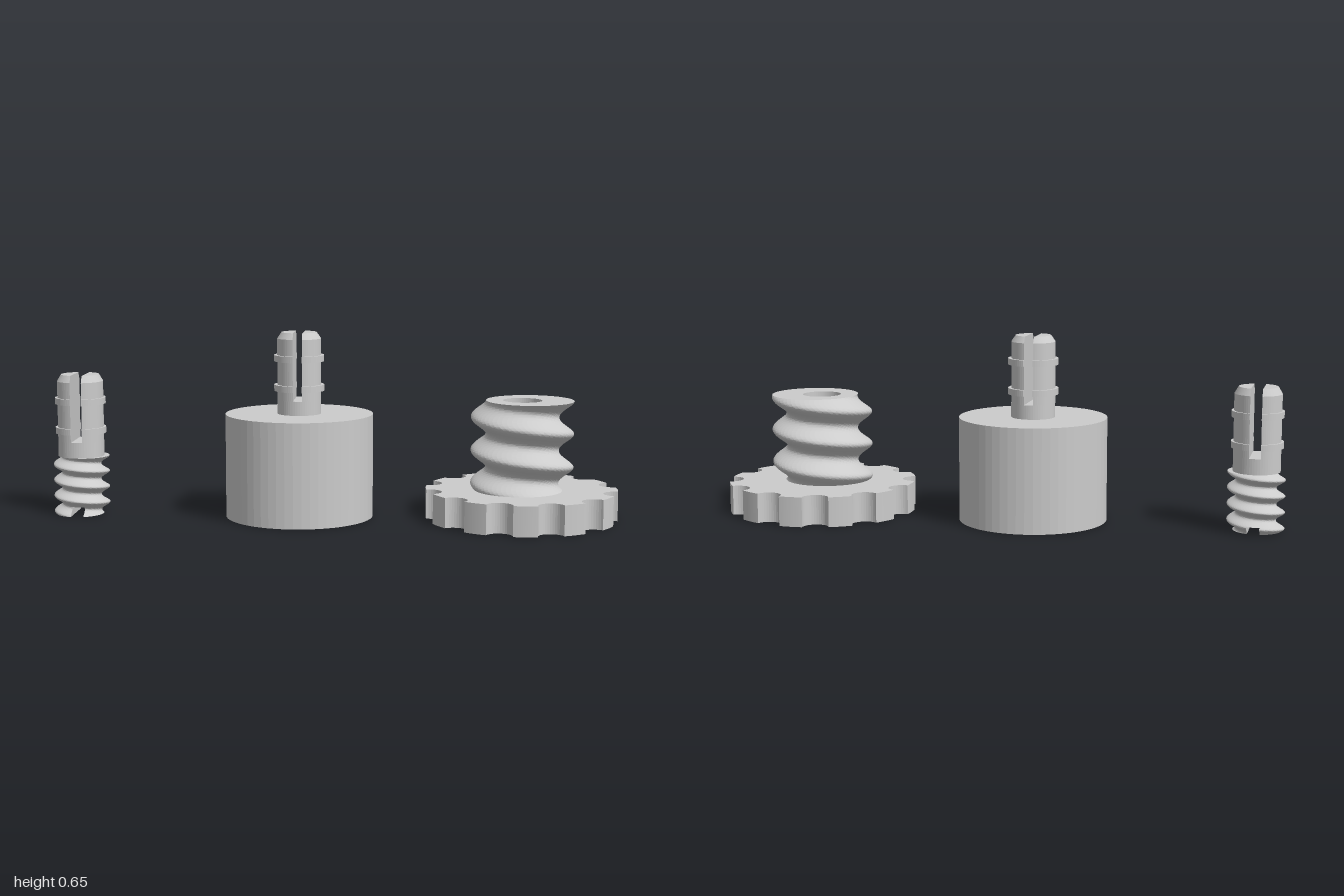
import * as THREE from 'three';

const material = new THREE.MeshStandardMaterial({ color: 0xcccccc, flatShading: true });
const SEG = 56;

// Horizontal circular section. With side = 1 or -1 only the piece beyond x = side * gap is kept.
function section(r, y, cx = 0, cz = 0, side = 0, gap = 0) {
  const half = side ? Math.acos((gap - side * cx) / r) : Math.PI;
  const mid = side < 0 ? Math.PI : 0;
  const count = side ? SEG / 2 : SEG - 1;
  const loop = [];
  for (let i = 0; i <= count; i++) {
    const t = mid - half + (2 * half * i) / (side ? count : SEG);
    loop.push(new THREE.Vector3(cx + r * Math.cos(t), y, cz + r * Math.sin(t)));
  }
  return loop;
}

// Skin a list of sections and cap both ends.
function loft(name, sections) {
  const n = sections[0].length;
  const points = sections.flat();
  const index = [];
  for (let s = 0; s < sections.length - 1; s++) {
    for (let j = 0; j < n; j++) {
      const a = s * n + j, b = s * n + ((j + 1) % n);
      index.push(a, a + n, b, b, a + n, b + n);
    }
  }
  const cap = (start, flip) => {
    const centre = new THREE.Vector3();
    for (let j = 0; j < n; j++) centre.addScaledVector(points[start + j], 1 / n);
    const c = points.push(centre) - 1;
    for (let j = 0; j < n; j++) {
      const a = start + j, b = start + ((j + 1) % n);
      if (flip) index.push(c, b, a);
      else index.push(c, a, b);
    }
  };
  const last = (sections.length - 1) * n;
  cap(0, false);
  cap(last, true);
  const geometry = new THREE.BufferGeometry().setFromPoints(points);
  geometry.setIndex(index);
  const flat = geometry.toNonIndexed();
  flat.computeVertexNormals();
  const mesh = new THREE.Mesh(flat, material);
  mesh.name = name;
  return mesh;
}

// Thread sections: an off-centre circle that turns as it climbs from y0 to y1.
function thread({ r, offset, pitch, top }, y0, y1, side = 0, gap = 0) {
  const steps = Math.max(4, Math.ceil((Math.abs(y1 - y0) / pitch) * 24));
  return Array.from({ length: steps + 1 }, (_, i) => {
    const y = y0 + ((y1 - y0) * i) / steps;
    const a = (2 * Math.PI * (top - y)) / pitch;
    return section(r, y, offset * Math.cos(a), -offset * Math.sin(a), side, gap);
  });
}

// Snap-in pin: solid foot, then two prongs with a slot between, ribs and a bevelled tip.
function splitPin({ r, ribR, tipR, base, slotFloor, top, bevel, ribs, gap }) {
  const pin = new THREE.Group();
  pin.name = 'splitPin';
  pin.add(loft('pinFoot', [section(r, base), section(r, slotFloor)]));
  const profile = [[r, slotFloor]];
  for (const y of ribs) {
    profile.push([r, y - 0.011], [ribR, y - 0.011], [ribR, y + 0.011], [r, y + 0.011]);
  }
  profile.push([r, top - bevel], [tipR, top]);
  for (const side of [1, -1]) {
    const prong = profile.map(([pr, y]) => section(pr, y, 0, 0, side, gap));
    pin.add(loft(side > 0 ? 'leftProng' : 'rightProng', prong));
  }
  return pin;
}

// Small threaded plug with a screwdriver slot underneath.
function threadedPlug() {
  const plug = new THREE.Group();
  plug.name = 'threadedPlug';
  const spec = { r: 0.084, offset: 0.015, pitch: 0.056, top: 0.207 };
  const slotTop = 0.03, gap = 0.022;
  plug.add(loft('plugThread', thread(spec, slotTop, 0.207)));
  for (const side of [1, -1]) {
    plug.add(loft('plugThreadEnd', thread(spec, 0, slotTop, side, gap)));
  }
  plug.add(splitPin({
    r: 0.081, ribR: 0.089, tipR: 0.067, base: 0.207, slotFloor: 0.262,
    top: 0.498, bevel: 0.024, ribs: [0.3, 0.405], gap: 0.02,
  }));
  return plug;
}

// Round housing with a threaded blind hole underneath and a pin on top.
function housing() {
  const group = new THREE.Group();
  group.name = 'housing';
  const spec = { r: 0.159, offset: 0.026, pitch: 0.117, top: 0.315 };
  group.add(loft('housingBody', [
    ...thread(spec, 0.315, 0),
    section(0.26, 0),
    section(0.26, 0.365),
  ]));
  group.add(splitPin({
    r: 0.077, ribR: 0.088, tipR: 0.062, base: 0.365, slotFloor: 0.415,
    top: 0.652, bevel: 0.022, ribs: [0.457, 0.561], gap: 0.016,
  }));
  return group;
}

// Thumb screw: notched grip disc with a hollow threaded post.
function thumbScrew() {
  const group = new THREE.Group();
  group.name = 'thumbScrew';
  const R = 0.336, notch = 0.046, count = 12, height = 0.105;
  const h = 2 * Math.asin(notch / (2 * R));
  const shape = new THREE.Shape();
  for (let i = 0; i < count; i++) {
    const c = ((i + 0.5) * 2 * Math.PI) / count;
    const swing = Math.PI / 2 + h / 2;
    shape.absarc(R * Math.cos(c), R * Math.sin(c), notch, c - swing, c + swing, true);
    shape.absarc(0, 0, R, c + h, c + (2 * Math.PI) / count - h, false);
  }
  const geometry = new THREE.ExtrudeGeometry(shape, { depth: height, bevelEnabled: false, curveSegments: 8 });
  geometry.rotateX(-Math.PI / 2);
  const grip = new THREE.Mesh(geometry, material);
  grip.name = 'gripDisc';
  group.add(grip);

  const spec = { r: 0.154, offset: 0.026, pitch: 0.117, top: 0.417 };
  group.add(loft('threadedPost', [
    ...thread(spec, height, 0.417),
    section(0.068, 0.417),
    section(0.068, 0.11),
  ]));
  return group;
}

export function createModel() {
  const model = new THREE.Group();
  model.name = 'fastenerSet';
  const parts = [[threadedPlug(), -0.901], [housing(), -0.12], [thumbScrew(), 0.663]];
  for (const [part, x] of parts) {
    part.position.x = x;
    model.add(part);
  }
  return model;
}
